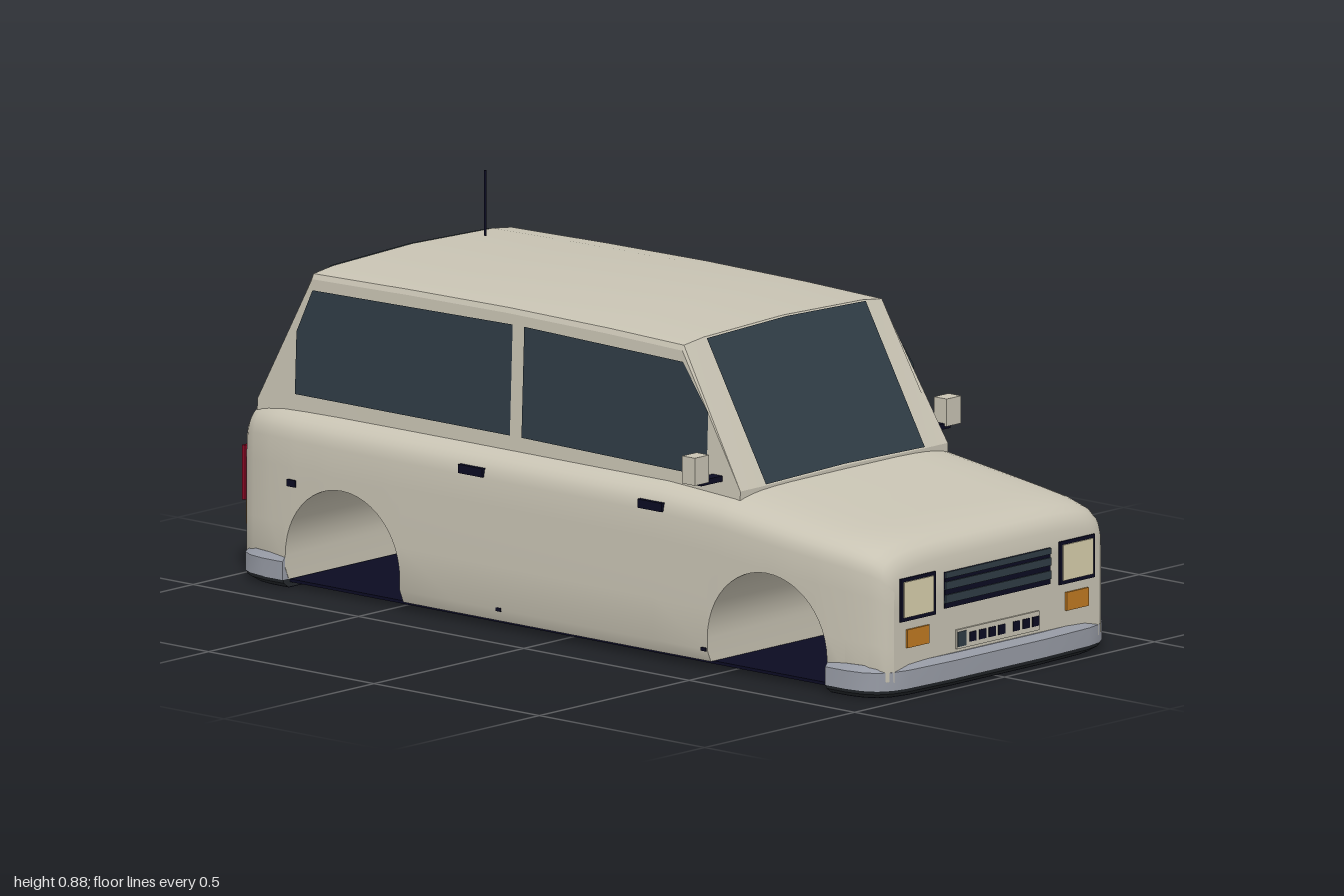
import * as THREE from 'three';
import { toCreasedNormals } from 'three/addons/utils/BufferGeometryUtils.js';

const mat = (name, color, side = THREE.FrontSide) => {
  const m = new THREE.MeshStandardMaterial({ color, side });
  m.name = name;
  return m;
};

// Piecewise linear lookup in rows of [key, value...], keys descending
function lookup(rows, z, col) {
  if (z >= rows[0][0]) return rows[0][col];
  for (let i = 1; i < rows.length; i++) {
    const a = rows[i - 1], b = rows[i];
    if (z >= b[0]) return THREE.MathUtils.lerp(a[col], b[col], (a[0] - z) / (a[0] - b[0]));
  }
  return rows[rows.length - 1][col];
}

// Skin over closed rings, counterclockwise seen from the first ring's side, with end caps
function loft(rings, crease = 0.45) {
  const pos = [];
  const tri = (...p) => {
    const [a, b, c] = p.map(q => new THREE.Vector3(...q));
    if (b.clone().sub(a).cross(c.clone().sub(a)).length() > 1e-9) p.forEach(q => pos.push(...q));
  };
  const n = rings[0].length;
  const middle = r => [0, 1, 2].map(k => r.reduce((s, p) => s + p[k], 0) / n);
  const first = rings[0], last = rings[rings.length - 1];
  for (let j = 0; j < n; j++) {
    const k = (j + 1) % n;
    for (let i = 0; i + 1 < rings.length; i++) {
      const [a, b, c, d] = [rings[i][j], rings[i][k], rings[i + 1][j], rings[i + 1][k]];
      tri(a, c, b);
      tri(b, c, d);
    }
    tri(middle(first), first[j], first[k]);
    tri(middle(last), last[k], last[j]);
  }
  const g = new THREE.BufferGeometry();
  g.setAttribute('position', new THREE.Float32BufferAttribute(pos, 3));
  return toCreasedNormals(g, crease);
}

// Complete a +x half outline (bottom to centre top) to a full ring
const mirrorRing = half => [...half, ...half.slice(0, -1).reverse().map(([x, y, z]) => [-x, y, z])];

// Flat convex panel
function panel(points) {
  const pos = [];
  for (let i = 1; i + 1 < points.length; i++) pos.push(...points[0], ...points[i], ...points[i + 1]);
  const g = new THREE.BufferGeometry();
  g.setAttribute('position', new THREE.Float32BufferAttribute(pos, 3));
  g.computeVertexNormals();
  return g;
}

export function createModel() {
  const car = new THREE.Group();
  car.name = 'car';
  const paint = mat('beige paint', 0xc8c3b3);
  const glass = mat('dark glass', 0x2f3c45, THREE.DoubleSide);
  const navy = mat('navy black', 0x0b0b22, THREE.DoubleSide);
  const silver = mat('bumper grey', 0x989ca6);
  const charcoal = mat('charcoal', 0x24282c);
  const amber = mat('amber', 0xc07a22);
  const red = mat('lamp red', 0x8c0a26);
  const cream = mat('lamp cream', 0xd8cfac);

  const add = (name, geometry, material, parent = car) => {
    const m = new THREE.Mesh(geometry, material);
    m.name = name;
    parent.add(m);
    return m;
  };
  // Box given by its extents
  const box = (name, material, x0, x1, y0, y1, z0, z1) => add(name,
    new THREE.BoxGeometry(x1 - x0, y1 - y0, z1 - z0)
      .translate((x0 + x1) / 2, (y0 + y1) / 2, (z0 + z1) / 2), material);

  // Lower body: [z, half width, top height]
  const plan = [
    [0.976, 0.342, 0.300], [0.967, 0.358, 0.320], [0.955, 0.367, 0.334], [0.93, 0.377, 0.346],
    [0.87, 0.388, 0.359], [0.8, 0.394, 0.368], [0.7, 0.398, 0.381], [0.5, 0.401, 0.408],
    [0.3, 0.402, 0.42], [-0.3, 0.402, 0.42], [-0.5, 0.401, 0.42], [-0.7, 0.398, 0.42],
    [-0.8, 0.394, 0.42], [-0.87, 0.388, 0.42], [-0.93, 0.377, 0.416], [-0.955, 0.367, 0.41],
    [-0.967, 0.358, 0.398], [-0.976, 0.342, 0.378]];
  const sill = 0.02;
  const arch = zc => {
    const s = [];
    for (let i = 0; i <= 24; i++) {
      const a = Math.PI * i / 24;
      s.push([zc + 0.177 * Math.cos(a), 0.075 + 0.175 * Math.sin(a)]);
    }
    return [[s[0][0], sill], ...s, [s[24][0], sill]];
  };
  const flat = (lo, hi) => plan.filter(p => p[0] > lo && p[0] < hi).map(p => [p[0], sill]);
  const stations = [...flat(0.82, 1), ...arch(0.642), ...flat(-0.46, 0.46), ...arch(-0.642), ...flat(-1, -0.82)];
  add('lowerBody', loft(stations.map(([z, bottom]) => {
    const w = lookup(plan, z, 1), top = lookup(plan, z, 2);
    const shoulder = sill + 0.65 * (top - sill);
    const half = [0, 0.11, 0.5].map(u => {
      const y = bottom + (shoulder - bottom) * u;
      return [y < 0.03 ? w * 0.97 : w, y, z];
    });
    for (let i = 0; i <= 12; i++) {
      const a = Math.PI / 2 * i / 12;
      half.push([i === 12 ? 0 : w * Math.cos(a) ** 0.4,
        shoulder + (top - shoulder) * Math.sin(a) ** 0.4, z]);
    }
    return mirrorRing(half);
  })), paint);
  box('floor', navy, -0.375, 0.375, 0.012, 0.019, -0.9, 0.9);

  // Cabin: [z, roof centre height, roof edge drop factor]
  const sideX = y => 0.347 - 0.037 * (y - 0.385);
  const cabin = [[0.515, 0.414, 0], [0.33, 0.732, 1], [0.1, 0.738, 1], [-0.2, 0.741, 1],
    [-0.5, 0.738, 1], [-0.79, 0.732, 1], [-0.945, 0.414, 0]];
  add('cabin', loft(cabin.map(([z, y, d]) => mirrorRing([
    [sideX(0.385), 0.385, z],
    [sideX(y - 0.028 * d), y - 0.004 - 0.024 * d, z],
    [0.33, y - 0.004 - 0.012 * d, z],
    [0.265, y - 0.004 - 0.004 * d, z],
    [0, y, z]])), 0.3), paint);

  // Windscreen and rear window
  const endGlass = (zLow, zHigh, out) => panel([
    [0, 0.419, zLow + out], [0.265, 0.414, zLow + out], [0.265, 0.723, zHigh + out],
    [0, 0.731, zHigh + out], [-0.265, 0.723, zHigh + out], [-0.265, 0.414, zLow + out]]);
  add('windscreen', endGlass(0.513, 0.334, 0.006), glass);
  add('rearWindow', endGlass(-0.943, -0.793, -0.006), glass);

  const frontPane = [[0.415, 0.43], [0.415, 0.575], [0.335, 0.68], [-0.145, 0.69], [-0.145, 0.437]];
  const rearPane = [[-0.18, 0.437], [-0.18, 0.69], [-0.785, 0.68], [-0.83, 0.58], [-0.83, 0.437]];

  // Bumpers: stacked plan outlines, the rear one turned round
  const corner = [[0.4, 0.82], [0.4, 0.88], [0.392, 0.925], [0.375, 0.955], [0.345, 0.975], [0.3, 0.985], [0.15, 0.992]];
  const outline = [...corner.map(([x, z]) => [-x, z]), ...corner.slice().reverse()];
  const layer = ([y, inset]) => outline.map(([x, z]) =>
    [x * (1 - inset / 0.4), y, 0.82 + (z - 0.82) * (1 - inset / 0.17)]);
  for (const [name, turn] of [['frontBumper', 0], ['rearBumper', Math.PI]]) {
    const g = new THREE.Group();
    g.name = name;
    g.rotation.y = turn;
    car.add(g);
    add('bumperBar', loft([[0.076, 0.012], [0.062, 0], [0.02, 0]].map(layer)), silver, g);
    add('bumperSkirt', loft([[0.02, 0.002], [0.012, 0.004], [0.001, 0.02]].map(layer)), charcoal, g);
    add('underPanel', panel(layer([0, 0.021])), navy, g);
  }
  box('towingBlock', navy, 0.172, 0.208, 0.02, 0.056, -1, -0.98);

  // Paired parts
  const pair = (name, m, x0, x1, ...rest) => {
    box(name + 'Left', m, x0, x1, ...rest);
    box(name + 'Right', m, -x1, -x0, ...rest);
  };
  for (const [side, s] of [['Left', 1], ['Right', -1]]) {
    for (const [name, pane] of [['frontSideWindow', frontPane], ['rearSideWindow', rearPane]])
      add(name + side, panel(pane.map(([z, y]) => [s * (sideX(y) + 0.003), y, z])), glass);
  }
  pair('mirrorArm', navy, 0.335, 0.415, 0.425, 0.438, 0.43, 0.46);
  pair('mirror', paint, 0.396, 0.444, 0.432, 0.495, 0.428, 0.466);
  pair('frontHandle', navy, 0.394, 0.405, 0.345, 0.365, 0.257, 0.33);
  pair('rearHandle', navy, 0.394, 0.405, 0.345, 0.365, -0.285, -0.212);
  pair('sideMarker', navy, 0.388, 0.398, 0.237, 0.253, -0.81, -0.785);
  pair('frontJackPoint', navy, 0.395, 0.404, 0.045, 0.053, 0.447, 0.462);
  pair('rearJackPoint', navy, 0.395, 0.404, 0.045, 0.053, -0.172, -0.158);

  // Front lamps and grille
  pair('headlampFrame', navy, 0.207, 0.324, 0.174, 0.273, 0.972, 0.98);
  pair('headlamp', cream, 0.216, 0.315, 0.183, 0.265, 0.976, 0.983);
  pair('frontIndicator', amber, 0.229, 0.302, 0.112, 0.154, 0.973, 0.981);
  box('grille', navy, -0.176, 0.176, 0.182, 0.265, 0.972, 0.979);
  for (const [y0, y1] of [[0.251, 0.265], [0.225, 0.243], [0.194, 0.213]])
    box('grilleSlat', glass, -0.176, 0.176, y0, y1, 0.974, 0.982);

  // Rear lamps
  pair('tailLamp', red, 0.292, 0.357, 0.175, 0.3, -0.982, -0.973);
  pair('rearIndicator', amber, 0.272, 0.343, 0.117, 0.172, -0.982, -0.973);

  // Plates with plain blocks
  const blocks = [-0.085, -0.053, -0.021, 0.011, 0.06, 0.092, 0.124];
  for (const [name, s, y] of [['frontPlate', 1, 0.105], ['rearPlate', -1, 0.165]]) {
    const slab = (n, m, x, w, h, z) => add(n, new THREE.BoxGeometry(w, h, 0.006).translate(s * x, y, s * z), m);
    slab(name, paint, 0, 0.274, 0.044, 0.978);
    slab(name + 'Band', glass, -0.122, 0.029, 0.034, 0.98);
    for (const x of blocks) slab(name + 'Block', navy, x, 0.022, s > 0 ? 0.022 : 0.034, 0.98);
  }

  // Aerial
  add('aerial', new THREE.CylinderGeometry(0.003, 0.003, 0.15, 8).translate(0.16, 0.81, -0.715), navy);
  return car;
}
